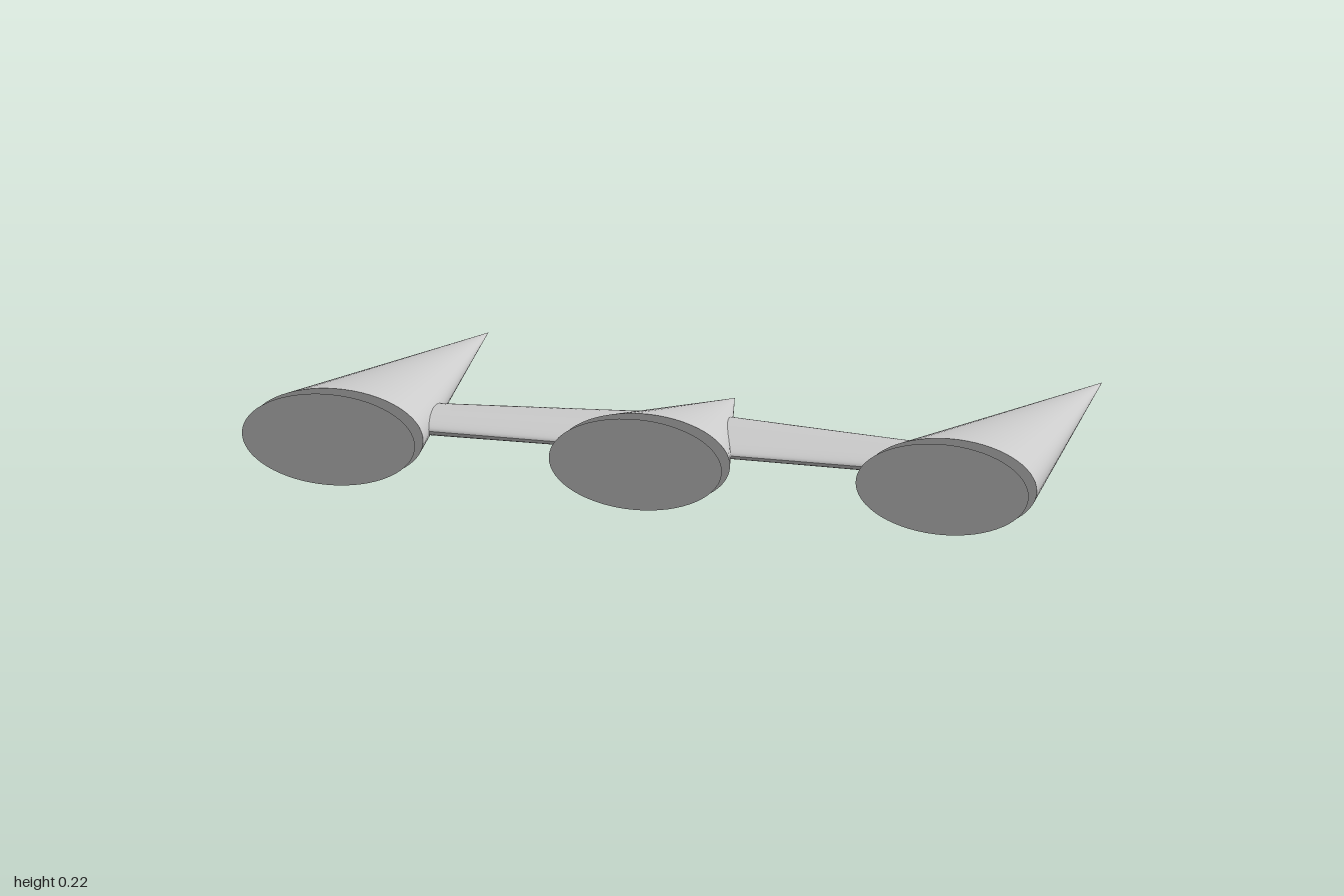
import * as THREE from 'three';

const MID_Y = 0.112;   // height of every axis
const RX = 0.22, RY = 0.112;

const material = new THREE.MeshStandardMaterial({ color: 0xcccccc });

// Closed cone with an elliptical base, tip pointing to -z
function flatCone(name, tipZ, baseZ, x) {
  const length = baseZ - tipZ;
  const geometry = new THREE.ConeGeometry(1, length, 64, 8);
  geometry.rotateX(-Math.PI / 2);
  geometry.scale(RX, RY, 1);
  const mesh = new THREE.Mesh(geometry, material);
  mesh.name = name;
  mesh.position.set(x, MID_Y, (tipZ + baseZ) / 2);
  return mesh;
}

// Body cone with a short flared nozzle at its base
function pod(name, x, tipZ) {
  const group = new THREE.Group();
  group.name = name;
  group.add(flatCone(name + 'Body', tipZ, 0.525, x));
  group.add(flatCone(name + 'Nozzle', 0.455, 0.585, x));
  return group;
}

// Half wing: an elliptical tube whose chord narrows towards the tip
function wing(name, side) {
  const span = 0.78, trailing = 0.43;
  const geometry = new THREE.CylinderGeometry(1, 1, span, 48, 6);
  geometry.rotateZ(-side * Math.PI / 2);
  geometry.translate(side * span / 2, 0, 0);
  geometry.scale(1, 0.026, 1);
  const p = geometry.attributes.position;
  for (let i = 0; i < p.count; i++) {
    const leading = 0.062 + 0.195 * Math.abs(p.getX(i));
    const halfChord = (trailing - leading) / 2;
    p.setZ(i, trailing - halfChord + p.getZ(i) * halfChord);
  }
  geometry.computeVertexNormals();
  const mesh = new THREE.Mesh(geometry, material);
  mesh.name = name;
  mesh.position.y = MID_Y + 0.001;
  return mesh;
}

export function createModel() {
  const model = new THREE.Group();
  model.name = 'spacecraft';
  model.add(pod('centrePod', 0, -0.14));
  for (const side of [-1, 1]) {
    const label = side > 0 ? 'left' : 'right';
    model.add(pod(label + 'Pod', side * 0.78, -0.58));
    model.add(wing(label + 'Wing', side));
  }
  return model;
}
